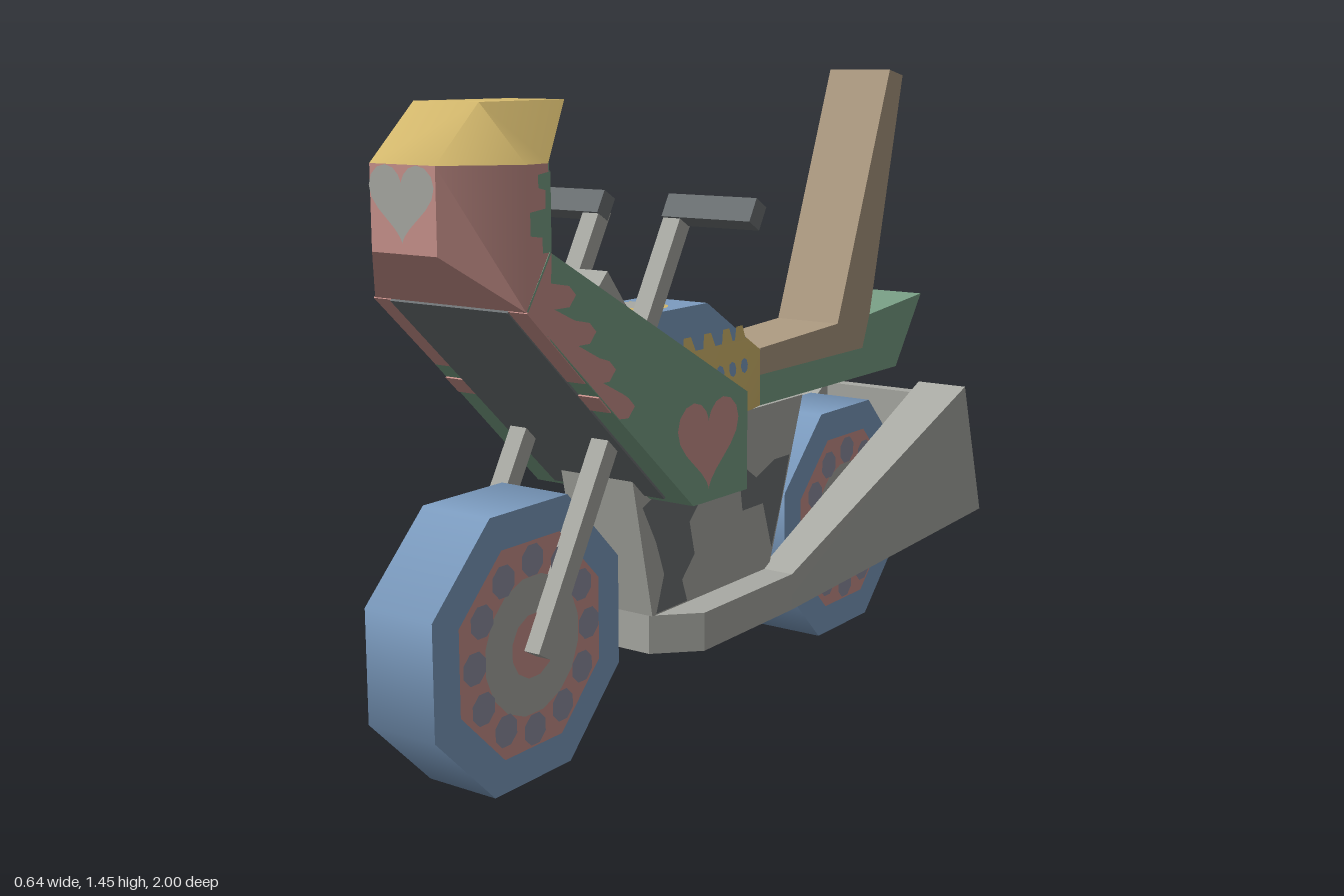
import * as THREE from 'three';
import { ConvexGeometry } from 'three/addons/geometries/ConvexGeometry.js';
import { toCreasedNormals } from 'three/addons/utils/BufferGeometryUtils.js';

const material = (name, color) => {
  const m = new THREE.MeshStandardMaterial({ color });
  m.name = name;
  return m;
};

export function createModel() {
  const blue = material('blue', 0x7c9cc0), pink = material('pink', 0xc9928c);
  const green = material('green', 0x79a086), yellow = material('yellow', 0xd2b76c);
  const tan = material('tan', 0xae9b82), gray = material('light gray', 0xa9aaa4);
  const dark = material('dark gray', 0x6d7274), slate = material('slate', 0x8f8fa2);

  const root = new THREE.Group();
  root.name = 'motorcycle';
  const add = (name, geo, mat, parent = root) => {
    const mesh = new THREE.Mesh(geo, mat);
    mesh.name = name;
    parent.add(mesh);
    return mesh;
  };
  const vec = (p) => new THREE.Vector3(...p);

  // Convex body from points on one side, mirrored across x
  const hull = (name, mat, pts, crease = 0.3) => add(name, toCreasedNormals(
    new ConvexGeometry(pts.flatMap(([x, y, z]) => [vec([x, y, z]), vec([-x, y, z])])), crease), mat);

  // Side profile [z, y] extruded across x
  const prism = (name, mat, pts, half) => {
    const geo = new THREE.ExtrudeGeometry(new THREE.Shape(pts.map((p) => new THREE.Vector2(...p))),
      { depth: 2 * half, bevelEnabled: false });
    return add(name, geo.translate(0, 0, -half).rotateY(-Math.PI / 2), mat);
  };

  // Painted [z, y] shape laid on both flanks, with x given by a rule
  const flank = (name, mat, pts, xAt, lift = 0.004) => {
    for (const s of [1, -1]) {
      const shape = new THREE.Shape(pts.map(([z, y]) => new THREE.Vector2(-s * z, y)));
      const geo = new THREE.ShapeGeometry(shape).rotateY(s * Math.PI / 2);
      const p = geo.attributes.position;
      for (let i = 0; i < p.count; i++) p.setX(i, s * (xAt(p.getZ(i), p.getY(i)) + lift));
      geo.computeVertexNormals();
      add(name, geo, mat);
    }
  };

  // Bar or panel running from a to b, both [z, y]
  const slab = (name, mat, width, a, b, thick, x = 0) => {
    const dz = b[0] - a[0], dy = b[1] - a[1];
    const mesh = add(name, new THREE.BoxGeometry(width, Math.hypot(dz, dy), thick), mat);
    mesh.position.set(x, (a[1] + b[1]) / 2, (a[0] + b[0]) / 2);
    mesh.rotation.x = Math.atan2(dz, dy);
    return mesh;
  };
  const ellipse = (z, y, rz, ry, n = 12) => Array.from({ length: n }, (_, i) => {
    const t = i / n * Math.PI * 2;
    return [z + rz * Math.cos(t), y + ry * Math.sin(t)];
  });
  const heart = (cx, cy, w, h) => Array.from({ length: 28 }, (_, i) => {
    const t = i / 28 * Math.PI * 2;
    const y = 13 * Math.cos(t) - 5 * Math.cos(2 * t) - 2 * Math.cos(3 * t) - Math.cos(4 * t);
    return [cx + w * Math.sin(t) ** 3 / 2, cy + (y + 2.5) / 29 * h];
  });

  // Eight-sided wheels with painted hubs
  for (const [name, z] of [['frontWheel', 0.707], ['rearWheel', -0.567]]) {
    const wheel = new THREE.Group();
    wheel.name = name;
    wheel.position.set(0, 0.295, z);
    root.add(wheel);
    const tyre = new THREE.CylinderGeometry(0.319, 0.319, 0.18, 8).rotateY(Math.PI / 8).rotateZ(Math.PI / 2);
    add('tyre', tyre, blue, wheel);
    for (const s of [1, -1]) {
      const disc = (part, r, n, mat, lift, y = 0, dz = 0) => add(part,
        new THREE.CircleGeometry(r, n, Math.PI / n).rotateY(s * Math.PI / 2), mat, wheel)
        .position.set(s * (0.09 + lift), y, dz);
      disc('rimBand', 0.24, 8, pink, 0.002);
      disc('hubPlate', 0.15, 16, gray, 0.004);
      disc('hubCap', 0.07, 12, pink, 0.006);
      for (let i = 0; i < 12; i++) {
        const t = i * Math.PI / 6;
        disc('rimDot', 0.036, 8, slate, 0.006, 0.182 * Math.sin(t), 0.182 * Math.cos(t));
      }
    }
  }

  // Fork legs and handlebars
  for (const s of [1, -1]) {
    slab('forkLeg', gray, 0.045, [0.72, 0.28], [0.212, 1.15], 0.042, s * 0.1125);
    slab('handlebar', dark, 0.23, [0.227, 1.135], [0.199, 1.183], 0.044, s * 0.204);
  }
  prism('gauge', gray, [[0.48, 1.05], [0.42, 0.975], [0.46, 0.88], [0.57, 0.96]], 0.12);
  prism('gaugeBase', dark, [[0.42, 0.975], [0.4, 0.955], [0.44, 0.87], [0.46, 0.88]], 0.12);

  // Front fairing
  const fairX = (z) => 0.2 + Math.max(0, 0.8 - z) * 0.04;
  hull('fairingBody', green, [[0.11, 0.525], [0.31, 0.525], [0.836, 1.01], [0.765, 1.12], [0.11, 0.75]]
    .map(([z, y]) => [fairX(z), y, z]));
  hull('fairingNose', pink, [[0.2, 1.12, 0.765], [0.2, 1.01, 0.836], [0.2, 1.12, 0.83], [0.085, 1.12, 0.955],
    [0.2, 1.29, 0.765], [0.2, 1.29, 0.83], [0.085, 1.29, 0.955]], 0.75);
  hull('fairingCap', yellow, [[0.2, 1.29, 0.765], [0.2, 1.29, 0.83], [0.085, 1.29, 0.955],
    [0.085, 1.405, 0.83], [0.075, 1.405, 0.56]], 0.75);
  slab('noseBack', green, 0.4, [0.765, 1.12], [0.765, 1.29], 0.006);
  slab('bellyPaint', pink, 0.405, [0.66, 0.848], [0.836, 1.01], 0.004);
  for (const s of [1, -1]) slab('bellyStripe', pink, 0.055, [0.585, 0.778], [0.625, 0.815], 0.006, s * 0.18);
  slab('frontPanel', dark, 0.31, [0.325, 0.539], [0.836, 1.01], 0.01);
  slab('rearPanel', dark, 0.3, [0.2, 0.8], [0.72, 1.095], 0.008);

  // Dripping paint along the fairing flanks
  const frontEdge = (y) => 0.31 + (y - 0.525) * 1.084;
  const drips = [[frontEdge(0.76), 0.76]];
  [0.78, 0.865, 0.95, 1.03].forEach((y, i) => {
    const tip = 0.515 + i * 0.06, root = frontEdge(y) - 0.045 - i * 0.018;
    drips.push([root, y - 0.022], [tip + 0.02, y - 0.022], [tip, y], [tip + 0.02, y + 0.02], [root + 0.01, y + 0.03]);
  });
  drips.push([0.765, 1.1], [0.765, 1.12], [0.836, 1.01]);
  flank('paintDrips', pink, drips, fairX);
  flank('noseDrips', green, [[0.765, 1.12], [0.79, 1.12], [0.79, 1.15], [0.825, 1.155], [0.825, 1.2], [0.78, 1.205],
    [0.78, 1.24], [0.8, 1.245], [0.8, 1.27], [0.765, 1.275]], fairX);
  flank('sideHeart', pink, heart(0.26, 0.655, 0.22, 0.2), fairX);
  const badge = heart(0, 1.215, 0.168, 0.15).map((p) => new THREE.Vector2(...p));
  add('frontHeart', new THREE.ShapeGeometry(new THREE.Shape(badge)), gray).position.z = 0.959;

  // Tank: yellow skirt, blue top, scalloped paint
  hull('tankSkirt', yellow, [[0.09, 0.66, -0.155], [0.09, 0.797, -0.155], [0.09, 0.835, -0.092],
    [0.107, 0.835, 0.07], [0.107, 0.835, 0.4], [0.135, 0.66, 0.07], [0.135, 0.66, 0.4]]);
  hull('tankTop', blue, [[0.09, 0.835, -0.092], [0.107, 0.835, 0.07], [0.107, 0.835, 0.4],
    [0.09, 0.935, 0.07], [0.09, 0.935, 0.4]]);
  const clamp = THREE.MathUtils.clamp;
  const tankX = (z, y) => 0.09 + 0.045 * clamp((0.935 - y) / 0.275, 0, 1) * clamp((z + 0.155) / 0.225, 0, 1);
  for (const z of [0.25, 0.17, 0.09, 0.01, -0.05]) {
    flank('tankScallop', yellow, [[z + 0.026, 0.833], [z + 0.014, 0.868], [z - 0.014, 0.868], [z - 0.026, 0.833]], tankX);
  }
  for (const z of [0.2, 0.13, 0.06, 0, -0.06]) flank('tankDot', blue, ellipse(z, 0.773, 0.018, 0.018, 8), tankX, 0.006);
  for (const [name, r, mat, y] of [['capRing', 0.075, yellow, 0.938], ['fuelCap', 0.052, gray, 0.941]]) {
    add(name, new THREE.CircleGeometry(r, 16).rotateX(-Math.PI / 2), mat).position.set(0, y, 0.225);
  }

  // Seat with tall backrest, and tail
  prism('seat', tan, [[-0.155, 0.735], [-0.155, 0.8], [-0.52, 0.815], [-0.77, 1.455], [-0.84, 1.44],
    [-0.685, 0.82], [-0.65, 0.735]], 0.09);
  prism('tail', green, [[-0.155, 0.66], [-0.155, 0.735], [-0.65, 0.735], [-0.685, 0.82], [-0.97, 0.845],
    [-0.835, 0.66]], 0.09);
  slab('tailLight', pink, 0.12, [-0.864, 0.7], [-0.941, 0.805], 0.008);

  // Engine block with dark patches
  prism('engine', gray, [[0.3, 0.25], [0.39, 0.66], [-0.335, 0.66], [-0.185, 0.25]], 0.1);
  const engineX = () => 0.1;
  flank('enginePatch', dark, [[0.34, 0.51], [0.27, 0.54], [0.2, 0.52], [0.14, 0.55], [0.13, 0.655], [0.06, 0.655],
    [0.08, 0.52], [0.16, 0.44], [0.14, 0.36], [0.19, 0.31], [0.17, 0.255], [0.29, 0.255], [0.26, 0.34], [0.29, 0.42]], engineX);
  flank('enginePatch', dark, [[0.02, 0.655], [0.01, 0.52], [-0.05, 0.48], [-0.06, 0.42], [-0.15, 0.42], [-0.19, 0.3],
    [-0.23, 0.4], [-0.27, 0.52], [-0.2, 0.52], [-0.12, 0.49], [-0.06, 0.53], [-0.03, 0.655]], engineX);

  // Base pan and flared exhausts
  hull('basePan', gray, [0.16, 0.25].flatMap((y) => [[0.09, y, 0.3], [0.18, y, 0.21], [0.18, y, -0.17]]));
  slab('basePanel', dark, 0.2, [0.2, 0.16], [-0.1, 0.16], 0.008);
  for (const s of [1, -1]) {
    const pts = [[0.09, 0.16, -0.165], [0.18, 0.16, -0.165], [0.09, 0.25, -0.165], [0.18, 0.25, -0.165],
      [0.135, 0.255, -0.995], [0.275, 0.255, -0.995], [0.135, 0.615, -0.885], [0.275, 0.615, -0.885]];
    add('exhaust', toCreasedNormals(new ConvexGeometry(pts.map(([x, y, z]) => vec([s * x, y, z]))), 0.3), gray);
    for (const t of [0.18, 0.5, 0.82]) {
      const hole = add('exhaustHole', new THREE.CircleGeometry(0.038, 10).rotateY(Math.PI), dark);
      hole.position.set(s * 0.205, 0.255 + 0.36 * t, -0.999 + 0.11 * t);
      hole.rotation.x = Math.atan2(0.11, 0.36);
    }
  }
  slab('exhaustBridge', gray, 0.29, [-0.87, 0.46], [-0.87, 0.59], 0.04);

  return root;
}
